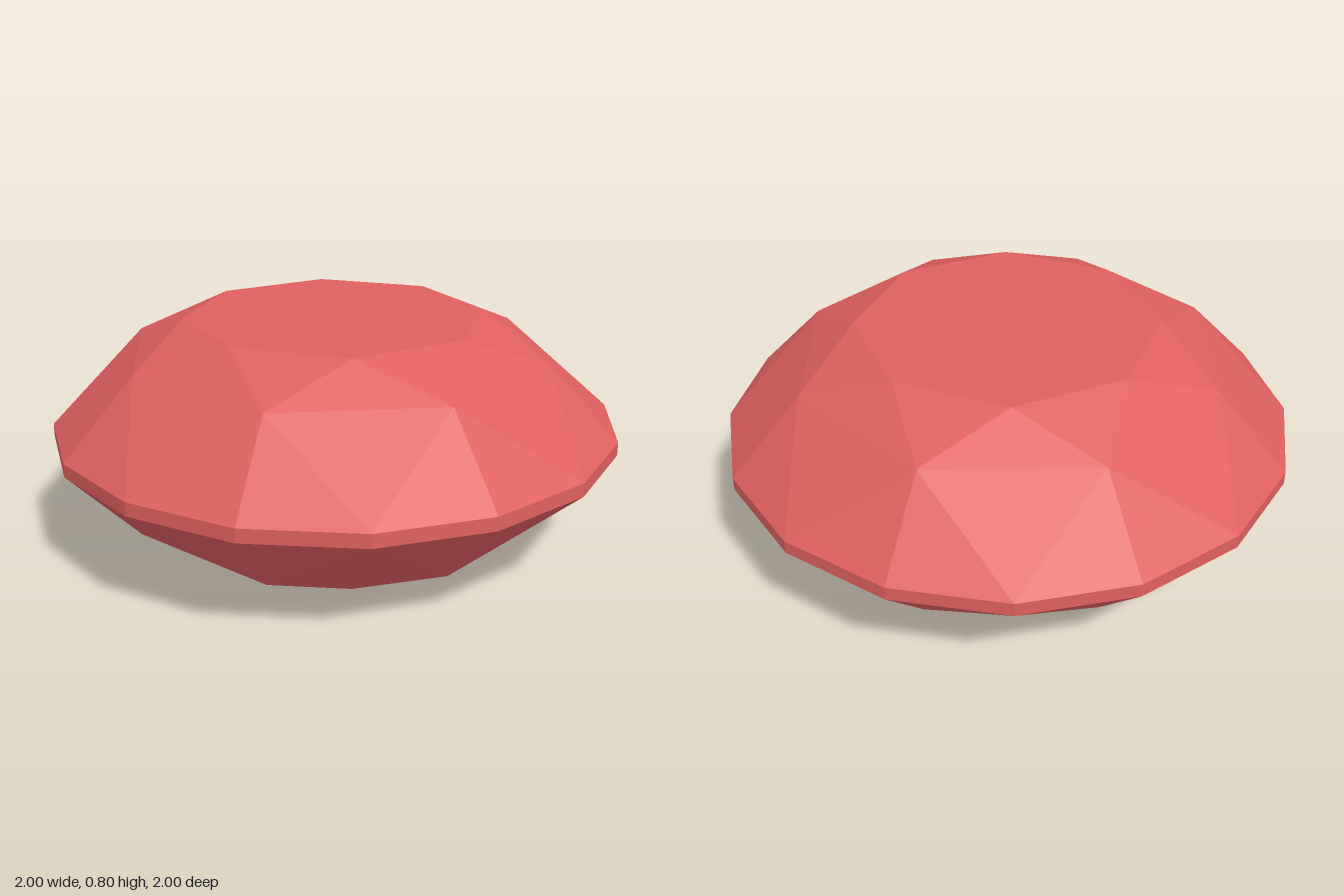
import * as THREE from 'three';

// Point on a ring; one step is a sixteenth of a turn, starting at the front
const ringPoint = (r, y, step) => {
  const a = (step * Math.PI) / 8;
  return [r * Math.sin(a), y, r * Math.cos(a)];
};

function facetMesh(name, triangles, material) {
  const geometry = new THREE.BufferGeometry();
  geometry.setAttribute('position', new THREE.Float32BufferAttribute(triangles.flat(2), 3));
  geometry.computeVertexNormals();
  const mesh = new THREE.Mesh(geometry, material);
  mesh.name = name;
  return mesh;
}

// One half of the stone: flat face, star facets, kites and girdle facets
function cutHalf(flatY, midY, girdleY, flip) {
  const triangles = [];
  const add = (a, b, c) => triangles.push(flip ? [a, c, b] : [a, b, c]);
  const flat = (s) => ringPoint(0.53, flatY, s);
  const mid = (s) => ringPoint(0.75, midY, s);
  const rim = (s) => ringPoint(1, girdleY, s);
  for (let s = 0; s < 16; s += 2) {
    add([0, flatY, 0], flat(s), flat(s + 2)); // flat face
    add(flat(s), mid(s + 1), flat(s + 2)); // star facet
    add(flat(s), mid(s - 1), mid(s + 1)); // inner part of kite
    add(mid(s - 1), rim(s), mid(s + 1)); // outer part of kite
    add(mid(s + 1), rim(s), rim(s + 1)); // pair of girdle facets
    add(mid(s + 1), rim(s + 1), rim(s + 2));
  }
  return triangles;
}

export function createModel() {
  const group = new THREE.Group();
  group.name = 'gem';
  const red = new THREE.MeshStandardMaterial({ color: 0xe06060, flatShading: true });
  const low = 0.38, high = 0.427;

  // Narrow upright band around the widest part
  const band = [];
  for (let s = 0; s < 16; s++) {
    const a = ringPoint(1, low, s), b = ringPoint(1, low, s + 1);
    const c = ringPoint(1, high, s + 1), d = ringPoint(1, high, s);
    band.push([a, b, c], [a, c, d]);
  }

  group.add(
    facetMesh('crown', cutHalf(0.8, 0.688, high, false), red),
    facetMesh('girdle', band, red),
    facetMesh('pavilion', cutHalf(0, 0.118, low, true), red)
  );
  return group;
}
